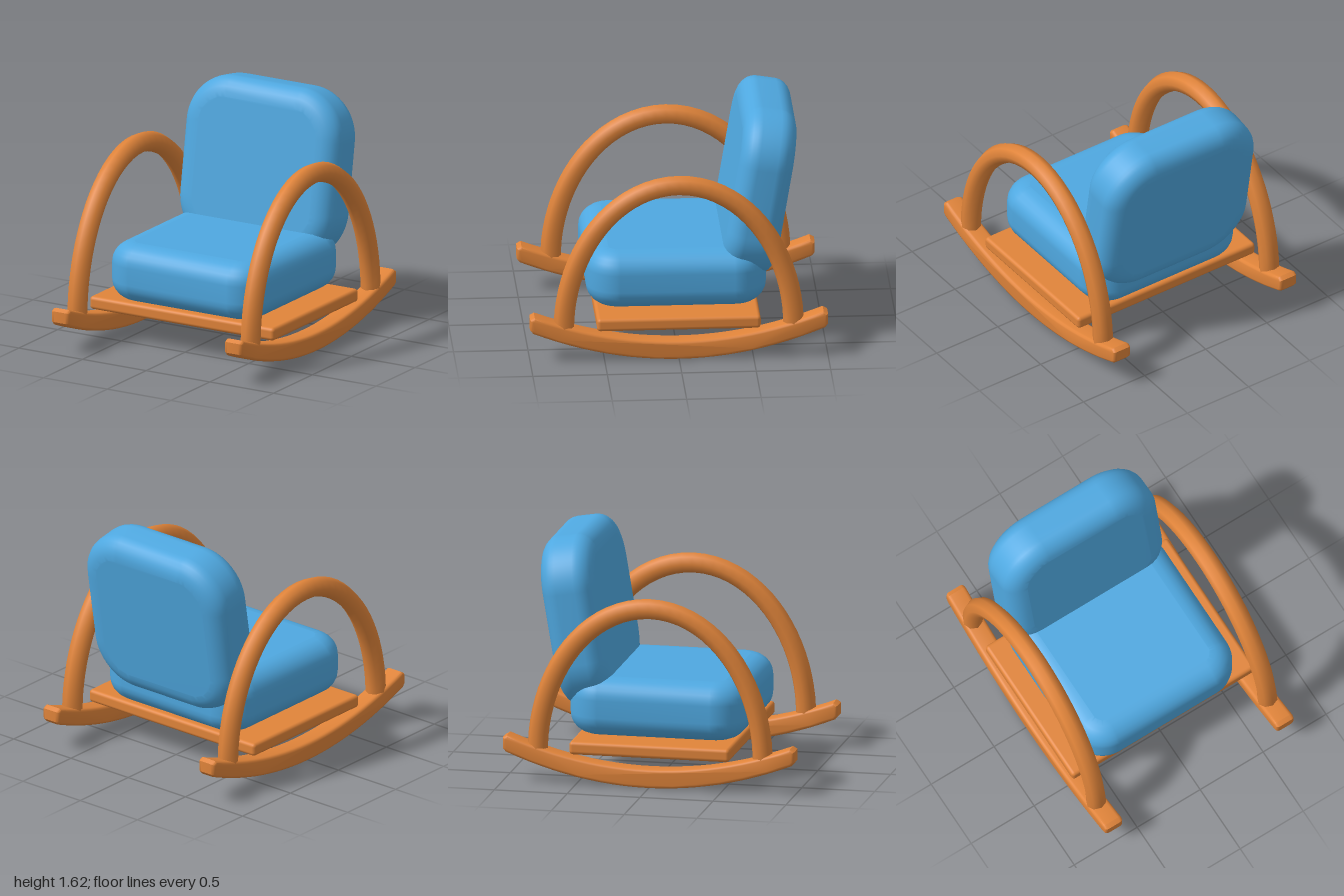
import * as THREE from 'three';
import { mergeVertices, toCreasedNormals } from 'three/addons/utils/BufferGeometryUtils.js';
import { RoundedBoxGeometry } from 'three/addons/geometries/RoundedBoxGeometry.js';

const wood = new THREE.MeshStandardMaterial({ color: 0xe0843a });
wood.name = 'orange wood';
const fabric = new THREE.MeshStandardMaterial({ color: 0x4fa8e0 });
fabric.name = 'blue fabric';

function addMesh(parent, name, geometry, material) {
  const mesh = new THREE.Mesh(geometry, material);
  mesh.name = name;
  parent.add(mesh);
  return mesh;
}

// Extrudes a shape to an exact overall thickness, with its rounded edge kept inside the outline
function roundedExtrude(shape, thickness, inset, edge, bevelSegments, curveSegments) {
  const geo = new THREE.ExtrudeGeometry(shape, {
    depth: thickness - 2 * edge,
    bevelEnabled: true,
    bevelSize: inset,
    bevelOffset: -inset,
    bevelThickness: edge,
    bevelSegments,
    curveSegments,
  });
  return geo.center();
}

// Soft, smooth-shaded cushion with a rounded rectangular outline in XY
function cushionGeometry(w, h, thickness, corner, inset, edge) {
  const x = w / 2, y = h / 2, r = corner;
  const s = new THREE.Shape();
  s.moveTo(-x + r, -y);
  s.lineTo(x - r, -y);
  s.absarc(x - r, -y + r, r, -Math.PI / 2, 0);
  s.lineTo(x, y - r);
  s.absarc(x - r, y - r, r, 0, Math.PI / 2);
  s.lineTo(-x + r, y);
  s.absarc(-x + r, y - r, r, Math.PI / 2, Math.PI);
  s.lineTo(-x, -y + r);
  s.absarc(-x + r, -y + r, r, Math.PI, Math.PI * 1.5);
  const geo = roundedExtrude(s, thickness, inset, edge, 6, 8);
  geo.deleteAttribute('normal');
  geo.deleteAttribute('uv');
  const smooth = mergeVertices(geo, 1e-4);
  smooth.computeVertexNormals();
  return smooth;
}

// Curved runner, drawn in side profile and turned to run along z
function rockerGeometry() {
  const bottom = (z) => 0.21 * z * z;
  const top = (z) => 0.13 + 0.2 * z * z;
  const n = 24, points = [];
  for (let i = 0; i <= n; i++) {
    const z = -0.98 + (1.96 * i) / n;
    points.push(new THREE.Vector2(z, bottom(z)));
  }
  points.push(new THREE.Vector2(1, 0.225), new THREE.Vector2(1, 0.3));
  for (let i = 0; i <= n; i++) {
    const z = 0.97 - (1.94 * i) / n;
    points.push(new THREE.Vector2(z, top(z)));
  }
  points.push(new THREE.Vector2(-1, 0.3), new THREE.Vector2(-1, 0.225));
  const geo = roundedExtrude(new THREE.Shape(points), 0.14, 0.02, 0.025, 3, 1);
  geo.rotateY(-Math.PI / 2);
  geo.computeBoundingBox();
  geo.translate(0, -geo.boundingBox.min.y, 0);
  return toCreasedNormals(geo, 0.7);
}

// Half-ellipse armrest hoop standing on the runner
function armGeometry() {
  const points = [];
  for (let i = 0; i <= 24; i++) {
    const a = (Math.PI * i) / 24;
    points.push(new THREE.Vector3(0, 0.2 + 1.022 * Math.sin(a), 0.772 * Math.cos(a)));
  }
  return new THREE.TubeGeometry(new THREE.CatmullRomCurve3(points), 40, 0.069, 8, false);
}

export function createModel() {
  const chair = new THREE.Group();
  chair.name = 'rockingChair';

  // Runners and armrest hoops, one pair per side
  const rocker = rockerGeometry();
  const arm = armGeometry();
  for (const [side, sign] of [['left', 1], ['right', -1]]) {
    const frame = new THREE.Group();
    frame.name = side + 'SideFrame';
    frame.position.x = sign * 0.68;
    addMesh(frame, side + 'Rocker', rocker, wood);
    addMesh(frame, side + 'ArmHoop', arm, wood);
    chair.add(frame);
  }

  // Board joining the two sides
  const board = addMesh(chair, 'seatBoard', new RoundedBoxGeometry(1.45, 0.09, 1.1, 3, 0.025), wood);
  board.position.y = 0.245;

  // Seat cushion lies flat
  const seat = addMesh(chair, 'seatCushion', cushionGeometry(1.21, 1.21, 0.4, 0.22, 0.15, 0.14), fabric);
  seat.rotation.x = -Math.PI / 2;
  seat.position.y = 0.49;

  // Back cushion leans backwards
  const back = addMesh(chair, 'backCushion', cushionGeometry(1.21, 1.17, 0.365, 0.34, 0.14, 0.12), fabric);
  back.rotation.x = -0.166;
  back.position.set(0, 1.03, -0.56);

  return chair;
}
